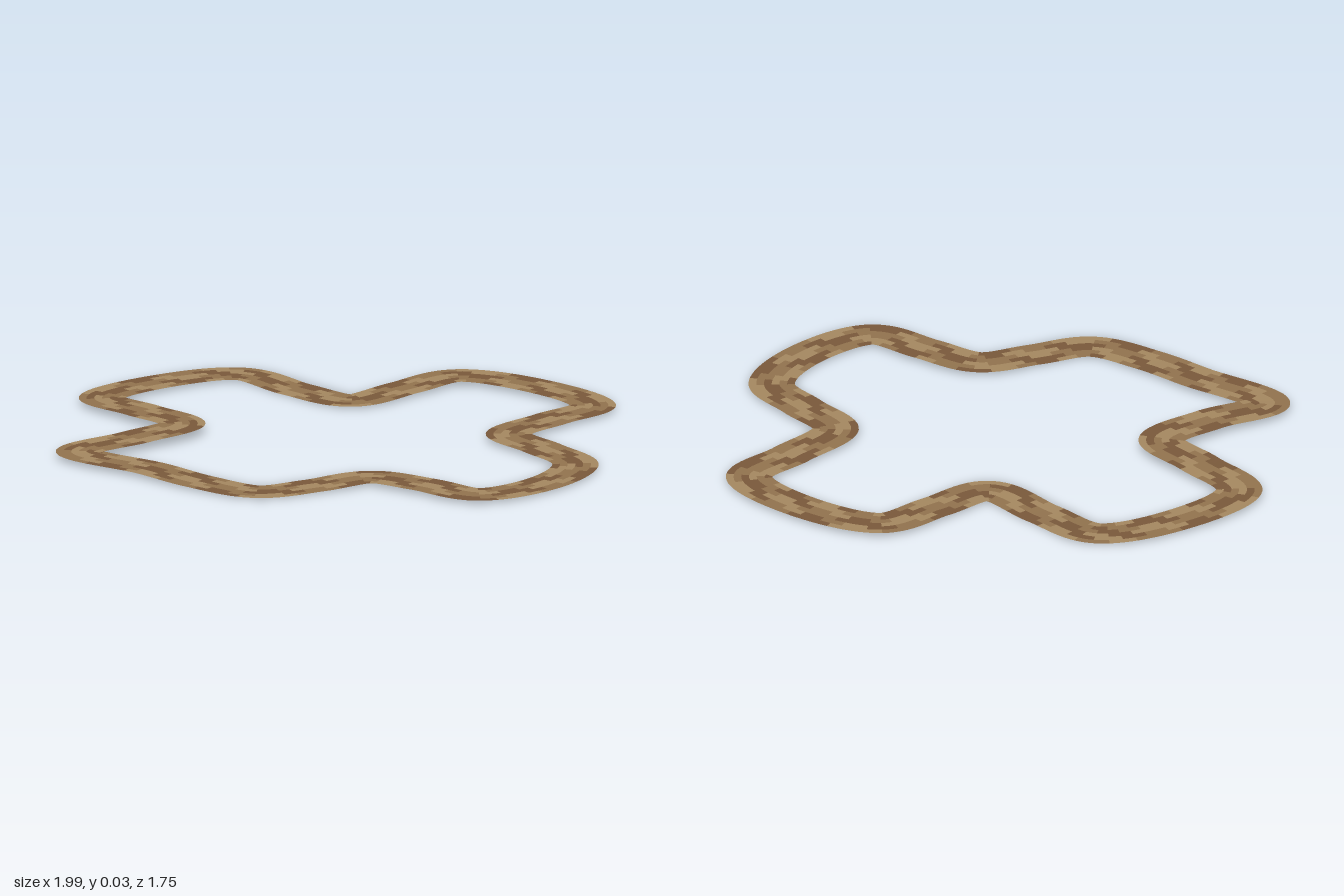
import * as THREE from 'three';

// Centre line of the closed path: x, y, z
const PATH = [
  [-0.35, 0.012, -0.80], [-0.15, 0.003, -0.63], [0.05, 0.01, -0.465], [0.235, 0.016, -0.615],
  [0.42, 0.02, -0.765], [0.71, 0.018, -0.64], [0.914, 0.016, -0.395], [0.77, 0.018, -0.21],
  [0.62, 0.02, 0], [0.745, 0.018, 0.18], [0.865, 0.014, 0.365], [0.765, 0.012, 0.61],
  [0.525, 0.016, 0.787], [0.325, 0.02, 0.67], [0.135, 0.018, 0.572], [-0.065, 0.01, 0.66],
  [-0.265, 0.008, 0.738], [-0.475, 0.013, 0.625], [-0.65, 0.02, 0.48], [-0.915, 0.023, 0.27],
  [-0.715, 0.032, 0.11], [-0.55, 0.034, -0.065], [-0.695, 0.03, -0.25], [-0.845, 0.022, -0.445],
  [-0.62, 0.016, -0.695],
];
const STEPS = 480;
const LANES = 6;
const PLANK = 6; // steps per plank
const HALF_WIDTH = 0.083;
const TONES = [
  ['lightPlanks', 0xa58860],
  ['midPlanks', 0x92734e],
  ['darkPlanks', 0x7a593b],
];

export function createModel() {
  const group = new THREE.Group();
  group.name = 'plankPath';

  const curve = new THREE.CatmullRomCurve3(PATH.map(p => new THREE.Vector3(...p)), true);
  curve.arcLengthDivisions = 1000;

  // Cross-sections: points from the inner edge to the outer edge
  const rows = [];
  for (let i = 0; i < STEPS; i++) {
    const c = curve.getPointAt(i / STEPS);
    const t = curve.getTangentAt(i / STEPS);
    const out = new THREE.Vector3(t.z, 0, -t.x).normalize();
    const row = [];
    for (let k = 0; k <= LANES; k++) {
      row.push(c.clone().addScaledVector(out, HALF_WIDTH * (2 * k / LANES - 1)));
    }
    rows.push(row);
  }

  // Staggered planks sorted by tone
  const positions = TONES.map(() => []);
  for (let i = 0; i < STEPS; i++) {
    const a = rows[i], b = rows[(i + 1) % STEPS];
    for (let k = 0; k < LANES; k++) {
      const plank = Math.floor(((i + (k % 2) * PLANK / 2) % STEPS) / PLANK);
      const tone = (plank + k * 2 + (plank * k) % 2) % 3;
      for (const v of [a[k], b[k], b[k + 1], a[k], b[k + 1], a[k + 1]]) {
        positions[tone].push(v.x, v.y, v.z);
      }
    }
  }

  TONES.forEach(([name, color], n) => {
    const geometry = new THREE.BufferGeometry();
    geometry.setAttribute('position', new THREE.Float32BufferAttribute(positions[n], 3));
    geometry.computeVertexNormals();
    const material = new THREE.MeshStandardMaterial({ color, side: THREE.DoubleSide });
    const mesh = new THREE.Mesh(geometry, material);
    mesh.name = name;
    group.add(mesh);
  });
  return group;
}
